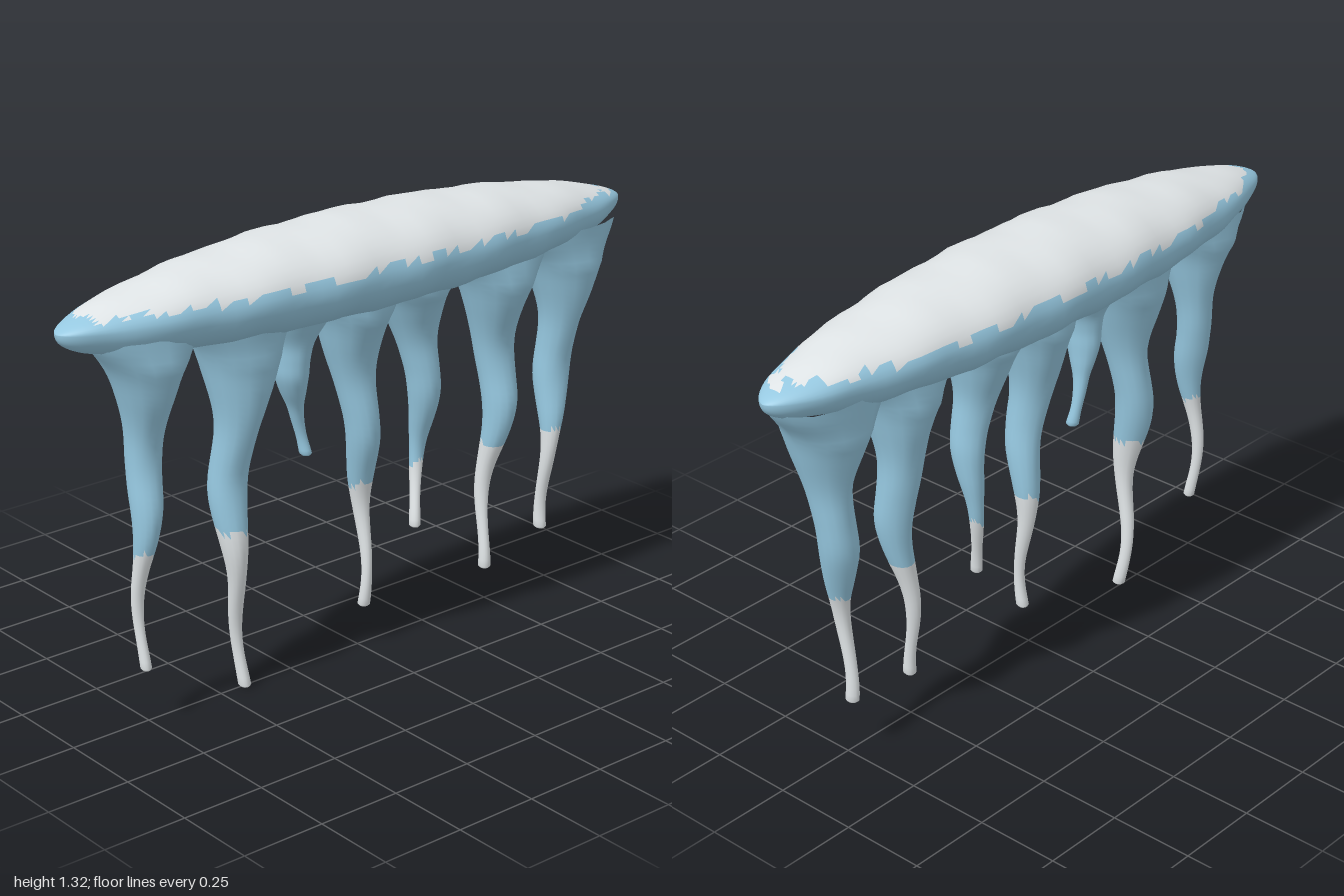
import * as THREE from 'three';

const ice = new THREE.MeshStandardMaterial({ color: 0x96c8e0 });
ice.name = 'blue ice';
const frost = new THREE.MeshStandardMaterial({ color: 0xdfe4e6 });
frost.name = 'white frost';

// Skins closed rings of points; each face is frosted or blue by its centre
function loft(name, rings, isFrost) {
  const n = rings[0].length;
  const pts = rings.flat();
  const lists = [[], []];
  const face = (...ids) => {
    const c = new THREE.Vector3();
    ids.forEach((i) => c.addScaledVector(pts[i], 1 / 3));
    lists[isFrost(c) ? 1 : 0].push(...ids);
  };
  for (let i = 0; i < rings.length - 1; i++) {
    for (let j = 0; j < n; j++) {
      const a = i * n + j, b = i * n + ((j + 1) % n);
      face(a, b, a + n);
      face(b, b + n, a + n);
    }
  }
  const geo = new THREE.BufferGeometry().setFromPoints(pts);
  geo.setIndex(lists.flat());
  geo.addGroup(0, lists[0].length, 0);
  geo.addGroup(lists[0].length, lists[1].length, 1);
  geo.computeVertexNormals();
  const mesh = new THREE.Mesh(geo, [ice, frost]);
  mesh.name = name;
  return mesh;
}

// One ring of points, given by a function of the angle
const makeRing = (count, point) =>
  Array.from({ length: count }, (_, j) => point((j / count) * Math.PI * 2));

// Uneven edge for the frost
const ragged = (p) => (Math.sin(p.x * 31 + p.z * 17) + Math.sin(p.x * 83 + p.z * 47 + 1)) / 2;

// Long lens-shaped slab, lofted from end to end
function iceSlab() {
  const rings = [];
  const steps = 64;
  for (let i = 0; i <= steps; i++) {
    const x = -Math.cos((i / steps) * Math.PI);
    const s = Math.max(1 - x * x, 0.00002);
    const width = 0.213 * s ** 0.55, top = 0.138 * s ** 0.7, bottom = 0.135 * s ** 0.4;
    rings.push(makeRing(36, (t) => {
      const bump = 1 + 0.014 * Math.sin(x * 23 + t * 2) + 0.012 * Math.sin(x * 41 - t * 3);
      const up = -Math.sin(t);
      return new THREE.Vector3(x, 1.178 + up * (up > 0 ? top : bottom) * bump, width * Math.cos(t) * bump);
    }));
  }
  return loft('iceSlab', rings, (p) => p.y > 1.212 + 0.012 * ragged(p));
}

// Smooth curve through evenly spaced values
const smooth = (values) => new THREE.SplineCurve(values.map((v, i) => new THREE.Vector2(i, v)));

// Radius from the flared root to the thin tip
const taper = smooth([0.18, 0.115, 0.082, 0.058, 0.05, 0.047, 0.037, 0.024, 0.018, 0.015, 0.017]);
const ROOT = 1.14;

// Tip height, thickness, phase of the sway, and centre x from root to tip
const icicles = [
  { tip: 0.17, thick: 0.93, sway: 0.4, path: [-0.74, -0.733, -0.745, -0.767, -0.762] },
  { tip: 0.01, thick: 1.07, sway: 2.8, path: [-0.42, -0.43, -0.458, -0.447, -0.422] },
  { tip: 0.65, thick: 1, sway: 1.2, path: [-0.23, -0.24, -0.242, -0.215, -0.19] },
  { tip: 0.13, thick: 1, sway: 5, path: [-0.02, -0.021, 0.008, 0.022, 0.015] },
  { tip: 0.33, thick: 0.98, sway: 4, path: [0.19, 0.207, 0.236, 0.233, 0.202] },
  { tip: 0.12, thick: 1.05, sway: 0, path: [0.51, 0.518, 0.53, 0.495, 0.48] },
  { tip: 0.17, thick: 1.07, sway: 2, path: [0.775, 0.78, 0.765, 0.735, 0.736] },
];

function icicle({ tip, thick, sway, path }, index) {
  const centre = smooth(path);
  const rings = [];
  const addRing = (u, y, shrink) => {
    const x = centre.getPoint(u).y;
    const r = taper.getPoint(u).y * thick * shrink;
    const z = 0.004 + 0.016 * Math.sin(y * 13 + sway) * Math.min(1, (1.15 - y) * 2);
    rings.push(makeRing(16, (a) => {
      const lump = 1 + 0.05 * Math.sin(2 * a + y * 17 + sway);
      // Keeps the flared root under the slab
      const depth = Math.min(r * 1.13, 0.125) * lump;
      return new THREE.Vector3(x + r * Math.cos(a), y, z + depth * Math.sin(a));
    }));
  };
  const steps = 48;
  for (let i = 0; i <= steps; i++) addRing(i / steps, THREE.MathUtils.lerp(ROOT, tip, i / steps), 1);
  // Rounded tip
  addRing(1, tip - 0.006, 0.7);
  addRing(1, tip - 0.009, 0.03);
  return loft('icicle' + (index + 1), rings, (p) => p.y < 0.505 + 0.02 * ragged(p));
}

export function createModel() {
  const group = new THREE.Group();
  group.name = 'hangingIcicles';
  group.add(iceSlab(), ...icicles.map(icicle));
  return group;
}
